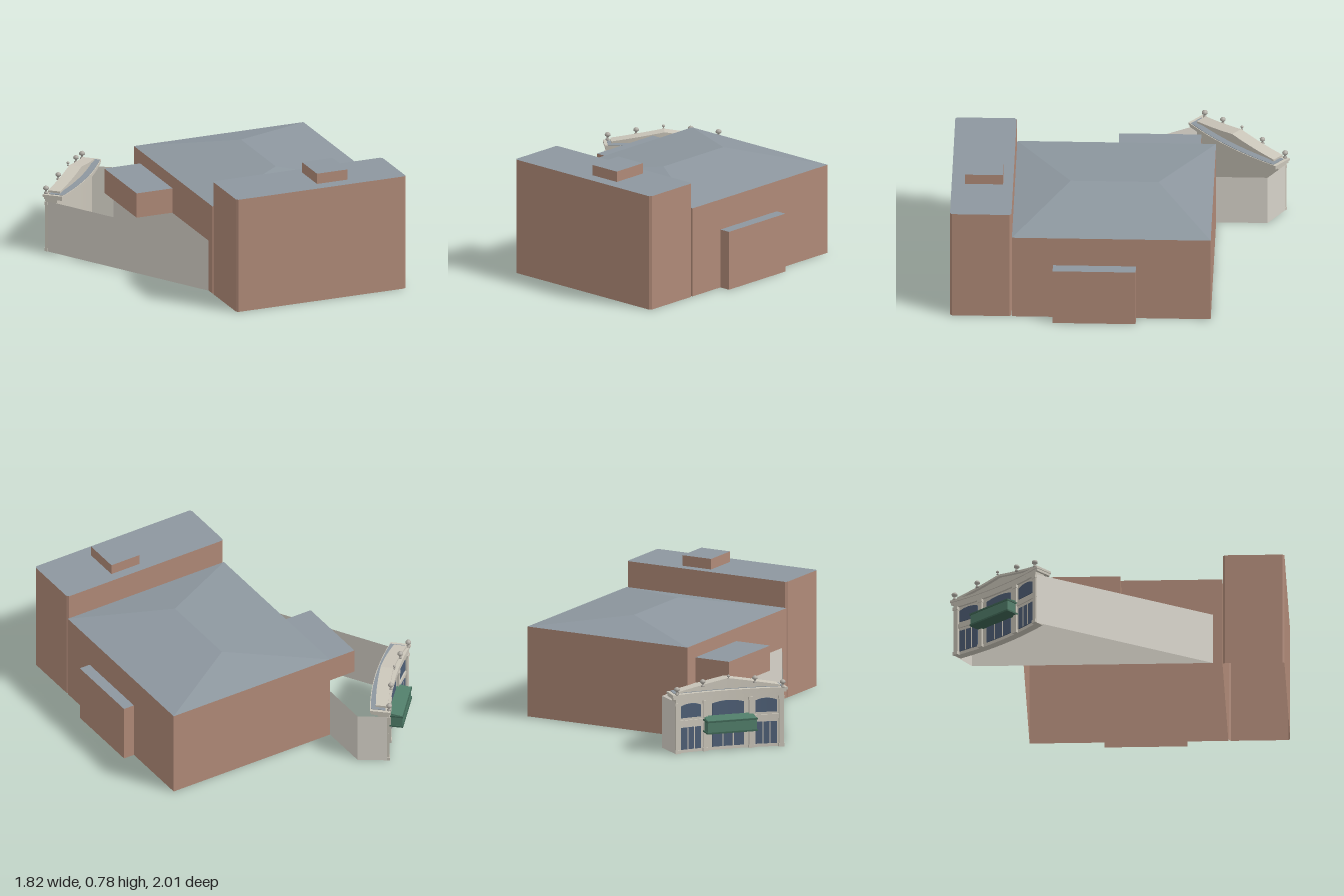
import * as THREE from 'three';

const mat = (name, color, side = THREE.FrontSide) =>
  Object.assign(new THREE.MeshStandardMaterial({ color, side }), { name });

export function createModel() {
  const brick = mat('brick', 0xb08a78, THREE.DoubleSide);
  const slate = mat('slate roof', 0x8d979f, THREE.DoubleSide);
  const plaster = mat('plaster', 0xd6d2c8, THREE.DoubleSide);
  const stone = mat('facade stone', 0xcbc6ba);
  const urnGrey = mat('urn stone', 0xb0aca4);
  const glass = mat('window glass', 0x4e5f76);
  const green = mat('marquee green', 0x507d69);
  const darkGreen = mat('marquee trim', 0x3f6655);

  const model = new THREE.Group();
  model.name = 'theatre';
  const add = (parent, name, geometry, material) => {
    const m = new THREE.Mesh(geometry, material);
    m.name = name;
    parent.add(m);
    return m;
  };
  const faces = (tris) => {
    const g = new THREE.BufferGeometry();
    g.setAttribute('position', new THREE.Float32BufferAttribute(tris.flat(), 3));
    g.computeVertexNormals();
    return g;
  };
  const quad = (a, b, c, d) => [a, b, c, a, c, d];

  // Upright walls along a closed loop of [x, z] points, open above and below
  const walls = (loop, y0, y1) => faces(loop.flatMap(([x, z], i) => {
    const [X, Z] = loop[(i + 1) % loop.length];
    return quad([x, y0, z], [X, y0, Z], [X, y1, Z], [x, y1, z]);
  }));
  const rect = (x0, x1, z0, z1, c = 0) => c
    ? [[x0 + c, z1], [x1 - c, z1], [x1, z1 - c], [x1, z0 + c], [x1 - c, z0], [x0 + c, z0], [x0, z0 + c], [x0, z1 - c]]
    : [[x0, z1], [x1, z1], [x1, z0], [x0, z0]];
  // Brick walls with a flat slate roof
  const block = (name, loop, y0, y1) => {
    const g = new THREE.Group();
    g.name = name;
    add(g, name + ' walls', walls(loop, y0, y1), brick);
    const flat = new THREE.ShapeGeometry(new THREE.Shape(loop.map(([x, z]) => new THREE.Vector2(x, -z))));
    add(g, name + ' roof', flat.rotateX(-Math.PI / 2).translate(0, y1, 0), slate);
    model.add(g);
  };

  // Auditorium with hipped roof
  add(model, 'hall walls', walls(rect(-0.28, 0.83, -0.57, 0.627), 0, 0.555), brick);
  const [a, b, c, d] = rect(-0.28, 0.83, -0.57, 0.627).map(([x, z]) => [x, 0.555, z]);
  const front = [0.28, 0.625, 0.29], back = [0.28, 0.625, -0.24];
  add(model, 'hip roof', faces([
    a, b, front, c, d, back, ...quad(b, c, back, front), ...quad(d, a, front, back),
  ]), slate);

  // Stage house, rooftop room and side rooms
  block('stage house', rect(-0.28, 0.83, 0.63, 1, 0.012), 0, 0.715);
  block('rooftop room', rect(0.28, 0.48, 0.69, 0.92), 0.715, 0.78);
  block('left annex', rect(0.83, 0.9, -0.12, 0.38), 0, 0.365);
  block('right annex', rect(-0.515, -0.28, -0.475, 0.02), 0.32, 0.475);

  // Roofless lobby walls; the facade closes the remaining side
  const lobby = [[-0.89, -0.47], [-0.282, 0.57], [-0.282, -0.88], [-0.43, -0.98]];
  add(model, 'lobby walls', faces([0, 1, 2].flatMap((i) => {
    const [x, z] = lobby[i], [X, Z] = lobby[i + 1];
    return quad([x, 0, z], [X, 0, Z], [X, 0.32, Z], [x, 0.32, z]);
  })), plaster);

  // Corner facade, local +z faces the street
  const facade = new THREE.Group();
  facade.name = 'facade';
  facade.position.set(-0.66, 0, -0.725);
  facade.rotation.y = Math.atan2(-0.742, -0.67);
  model.add(facade);
  const H = 0.343;
  const bulge = (x) => 0.03 * (1 - (x / H) ** 2);
  // Box bent along the concave front; rise lifts its vertices by position
  const bent = (name, x0, x1, y0, y1, z0, z1, material, rise = () => 0) => {
    let g = new THREE.BoxGeometry(x1 - x0, y1 - y0, z1 - z0, 2 * Math.max(1, Math.ceil((x1 - x0) * 10)), 1, 1);
    g.translate((x0 + x1) / 2, (y0 + y1) / 2, (z0 + z1) / 2);
    const p = g.attributes.position;
    for (let i = 0; i < p.count; i++) {
      const x = p.getX(i), y = p.getY(i);
      p.setY(i, y + rise(x, y));
      p.setZ(i, p.getZ(i) - bulge(x));
    }
    g = g.toNonIndexed();
    g.computeVertexNormals();
    return add(facade, name, g, material);
  };
  bent('facade wall', -H, H, 0, 0.335, -0.05, 0, stone);
  bent('architrave', -H, H, 0.315, 0.337, -0.06, 0.014, stone);
  bent('cornice', -H - 0.015, H + 0.015, 0.337, 0.352, -0.1, 0.014, stone);
  bent('upper cornice', -H - 0.02, H + 0.02, 0.352, 0.366, -0.105, 0.02, stone);
  bent('cornice roof', -H, H, 0.366, 0.369, -0.1, -0.01, slate);
  bent('middle band', -H, H, 0.175, 0.2, 0, 0.008, stone);

  // Pediment: recessed panel below a raking moulding
  const slope = (x) => 0.055 * (1 - Math.abs(x) / 0.31);
  bent('pediment panel', -0.31, 0.31, 0.364, 0.372, -0.06, -0.012, stone, (x, y) => (y > 0.368 ? slope(x) : 0));
  bent('raking moulding', -0.32, 0.32, 0.37, 0.383, -0.07, 0.008, stone, slope);

  // Pilasters
  for (const x of [-0.328, -0.145, 0.145, 0.328]) {
    bent('pilaster', x - 0.014, x + 0.014, 0, 0.315, 0, 0.014, stone);
    bent('pilaster base', x - 0.017, x + 0.017, 0, 0.02, 0, 0.018, stone);
    bent('pilaster capital', x - 0.017, x + 0.017, 0.295, 0.315, 0, 0.018, stone);
  }
  // Windows and doors, two storeys in three bays
  for (const [x, w] of [[-0.238, 0.066], [0, 0.1], [0.238, 0.066]]) {
    bent('upper window', x - w, x + w, 0.215, 0.288, 0, 0.005, glass,
      (X, y) => (y > 0.25 ? 0.014 * (1 - ((X - x) / w) ** 2) : 0));
    bent('lower window', x - w, x + w, 0.02, 0.155, 0, 0.005, glass);
    for (const s of [-0.33, 0.33]) {
      bent('mullion', x + s * w - 0.003, x + s * w + 0.003, 0.02, 0.155, 0.005, 0.008, stone);
    }
  }

  // Marquee with sloping top
  const profile = new THREE.Shape([[-0.03, 0.12], [0.06, 0.12], [0.06, 0.2], [-0.03, 0.215]]
    .map(([z, y]) => new THREE.Vector2(-z, y)));
  const canopy = new THREE.ExtrudeGeometry(profile, { depth: 0.31, bevelEnabled: false });
  add(facade, 'marquee', canopy.translate(0, 0, -0.155).rotateY(Math.PI / 2), green);
  for (const y of [0.124, 0.194]) {
    add(facade, 'marquee trim', new THREE.BoxGeometry(0.32, 0.01, 0.095), darkGreen).position.set(0, y, 0.0175);
  }

  // Urn finials along the skyline
  const urn = new THREE.LatheGeometry([[0, 0], [0.012, 0], [0.012, 0.006], [0.006, 0.011], [0.007, 0.02],
    [0.017, 0.027], [0.018, 0.036], [0.012, 0.044], [0.004, 0.048], [0, 0.05]]
    .map(([x, y]) => new THREE.Vector2(x, y)), 12);
  for (const [x, y, s] of [[-0.335, 0.366, 1], [-0.165, 0.4, 0.95], [0, 0.434, 0.55], [0.165, 0.4, 0.95], [0.335, 0.366, 1]]) {
    const m = add(facade, 'urn finial', urn, urnGrey);
    m.position.set(x, y, 0.012 - bulge(x) * 0.9);
    m.scale.setScalar(s);
  }
  return model;
}
